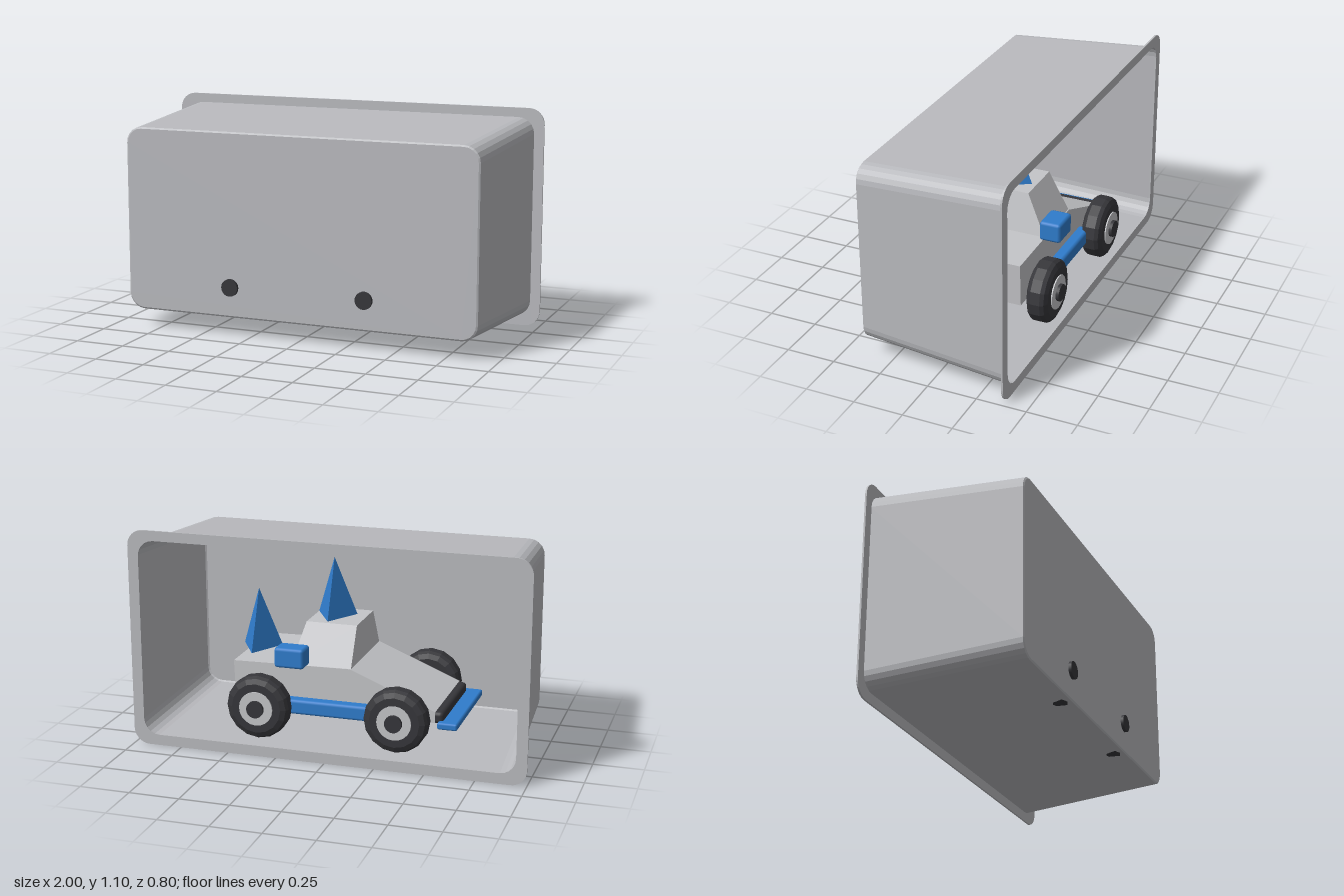
import * as THREE from 'three';
import { RoundedBoxGeometry } from 'three/addons/geometries/RoundedBoxGeometry.js';

const mat = (name, color, side = THREE.FrontSide) => {
  const m = new THREE.MeshStandardMaterial({ color, side });
  m.name = name;
  return m;
};

// Facets a geometry so every face keeps its own normal
const flat = (g) => {
  const f = g.index ? g.toNonIndexed() : g;
  f.computeVertexNormals();
  return f;
};

// Rounded rectangle outline, counter-clockwise, centred on (0, cy)
function outline(hw, hh, r, cy, seg = 5) {
  const pts = [];
  const corners = [[1, -1], [1, 1], [-1, 1], [-1, -1]];
  corners.forEach(([sx, sy], c) => {
    for (let i = 0; i <= seg; i++) {
      const a = (c - 1 + i / seg) * Math.PI / 2;
      pts.push(new THREE.Vector2(sx * (hw - r) + r * Math.cos(a), cy + sy * (hh - r) + r * Math.sin(a)));
    }
  });
  return pts;
}

// Skin through equal-length cross-sections [{z, pts}], with optional end caps
function loft(sections, capStart, capEnd) {
  const pos = [];
  const v = (s, i) => {
    const p = s.pts[i % s.pts.length];
    return [p.x, p.y, s.z];
  };
  const n = sections[0].pts.length;
  for (let k = 0; k + 1 < sections.length; k++) {
    const s = sections[k], t = sections[k + 1];
    for (let i = 0; i < n; i++) {
      pos.push(...v(s, i), ...v(s, i + 1), ...v(t, i + 1), ...v(s, i), ...v(t, i + 1), ...v(t, i));
    }
  }
  const first = sections[0], last = sections[sections.length - 1];
  for (let i = 1; i < n - 1; i++) {
    if (capStart) pos.push(...v(first, 0), ...v(first, i + 1), ...v(first, i));
    if (capEnd) pos.push(...v(last, 0), ...v(last, i), ...v(last, i + 1));
  }
  const g = new THREE.BufferGeometry();
  g.setAttribute('position', new THREE.Float32BufferAttribute(pos, 3));
  g.computeVertexNormals();
  return g;
}

export function createModel() {
  const model = new THREE.Group();
  model.name = 'carInTray';
  const trayGrey = mat('trayGrey', 0xb9babe, THREE.DoubleSide);
  const bodyGrey = mat('bodyGrey', 0xc4c5c8);
  const blue = mat('blue', 0x2f7ccc);
  const black = mat('black', 0x36363a);

  const add = (parent, name, geo, material, x = 0, y = 0, z = 0) => {
    const m = new THREE.Mesh(geo, material);
    m.name = name;
    m.position.set(x, y, z);
    parent.add(m);
    return m;
  };

  // Tray: tapered tub, open at the back, closed at the front
  const tray = new THREE.Group();
  tray.name = 'tray';
  model.add(tray);
  add(tray, 'tub', loft([
    { z: -0.38, pts: outline(0.95, 0.502, 0.08, 0.552) },
    { z: 0.38, pts: outline(0.91, 0.458, 0.08, 0.552) },
    { z: 0.385, pts: outline(0.902, 0.45, 0.072, 0.552) },
  ], false, true), trayGrey);

  // Flat rim around the opening
  const rim = new THREE.Shape(outline(1, 0.55, 0.08, 0.55, 8));
  rim.holes.push(new THREE.Path(outline(0.946, 0.498, 0.08, 0.552).reverse()));
  add(tray, 'rim', new THREE.ExtrudeGeometry(rim, { depth: 0.009, bevelEnabled: false }), trayGrey, 0, 0, -0.384);

  // Car, nose towards -x
  const car = new THREE.Group();
  car.name = 'car';
  model.add(car);

  const side = new THREE.Shape([
    [0.5, 0.22], [0.51, 0.44], [-0.09, 0.45], [-0.52, 0.275], [-0.52, 0.22],
  ].map(([x, y]) => new THREE.Vector2(x, y)));
  add(car, 'body', new THREE.ExtrudeGeometry(side, { depth: 0.5, bevelEnabled: false }), bodyGrey, 0, 0, -0.25);

  // Cabin: box with its top drawn in
  const cabin = new THREE.BoxGeometry(0.31, 0.2, 0.5);
  const p = cabin.attributes.position;
  for (let i = 0; i < p.count; i++) {
    if (p.getY(i) > 0) {
      p.setZ(i, p.getZ(i) * 0.56);
      p.setX(i, p.getX(i) > 0 ? 0.105 : -0.153);
    }
  }
  add(car, 'cabin', flat(cabin), bodyGrey, 0.06, 0.54, 0);

  // Bumpers
  add(car, 'noseBumper', new RoundedBoxGeometry(0.06, 0.06, 0.5, 2, 0.02), black, -0.53, 0.245, 0);
  add(car, 'frontBlade', new RoundedBoxGeometry(0.1, 0.035, 0.56, 1, 0.01), blue, -0.585, 0.215, 0);

  // Three-sided spikes on the tail and the roof
  for (const [name, x, y] of [['tailSpike', 0.465, 0.595], ['roofSpike', 0.065, 0.785]]) {
    const g = new THREE.ConeGeometry(0.12, 0.31, 3);
    g.rotateY(Math.PI);
    add(car, name, flat(g), blue, x, y, 0);
  }

  // Wheel pieces
  const tyre = flat(new THREE.LatheGeometry([
    [0, -0.055], [0.125, -0.055], [0.15, -0.043], [0.16, -0.025],
    [0.16, 0.025], [0.15, 0.043], [0.125, 0.055], [0, 0.055],
  ].map(([r, y]) => new THREE.Vector2(r, y)), 16).rotateX(Math.PI / 2));
  const disc = (r, d) => new THREE.CylinderGeometry(r, r, d, 20).rotateX(Math.PI / 2);

  for (const x of [-0.35, 0.35]) {
    add(car, 'axle', disc(0.035, 0.6), black, x, 0.245, 0);
    for (const s of [-1, 1]) {
      const wheel = new THREE.Group();
      wheel.name = 'wheel';
      wheel.position.set(x, 0.245, 0);
      car.add(wheel);
      add(wheel, 'tyre', tyre, black, 0, 0, s * 0.323);
      add(wheel, 'hub', disc(0.086, 0.06), bodyGrey, 0, 0, s * 0.354);
      add(wheel, 'hubCap', disc(0.043, 0.06), black, 0, 0, s * 0.37);
    }
  }

  // Side skirts and side pods
  for (const s of [-1, 1]) {
    add(car, 'sideSkirt', new RoundedBoxGeometry(0.5, 0.075, 0.07, 1, 0.015), blue, 0, 0.245, s * 0.27);
    add(car, 'sidePod', new RoundedBoxGeometry(0.15, 0.1, 0.11, 1, 0.015), blue, 0.19, 0.505, s * 0.295);
  }

  return model;
}
